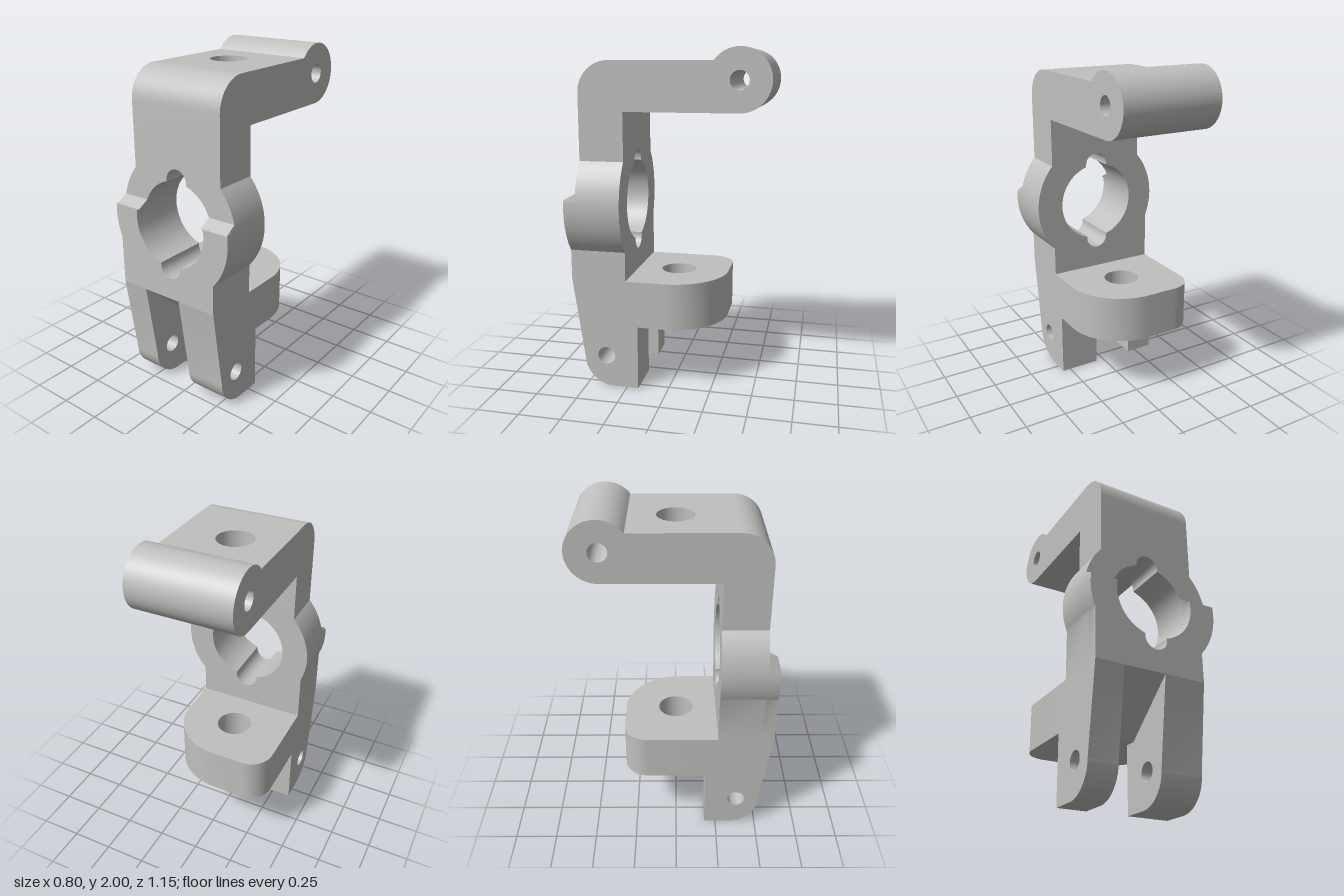
import * as THREE from 'three';
import { toCreasedNormals } from 'three/addons/utils/BufferGeometryUtils.js';

const PI = Math.PI;

// Points along an arc; works in both directions
function arc(cx, cy, r, a0, a1, n = 24) {
  return Array.from({ length: n + 1 }, (_, i) => {
    const a = a0 + ((a1 - a0) * i) / n;
    return [cx + r * Math.cos(a), cy + r * Math.sin(a)];
  });
}
const circle = (cx, cy, r) => arc(cx, cy, r, 0, 2 * PI, 40).slice(0, -1);
const vectors = (pts) => pts.map(([x, y]) => new THREE.Vector2(x, y));

function extrude(outline, holes, depth) {
  const shape = new THREE.Shape(vectors(outline));
  holes.forEach((h) => shape.holes.push(new THREE.Path(vectors(h))));
  return new THREE.ExtrudeGeometry(shape, { depth, bevelEnabled: false });
}
// Outline in (z, y), swept from x0 to x1
const alongX = (outline, holes, x0, x1) =>
  extrude(outline, holes, x1 - x0).rotateY(-PI / 2).translate(x1, 0, 0);
// Outline in (x, -z), swept from y0 to y1
const alongY = (outline, holes, y0, y1) =>
  extrude(outline, holes, y1 - y0).rotateX(-PI / 2).translate(0, y0, 0);
// Outline in (x, y), swept from z0 to z1
const alongZ = (outline, holes, z0, z1) =>
  extrude(outline, holes, z1 - z0).translate(0, 0, z0);

export function createModel() {
  const model = new THREE.Group();
  model.name = 'pivotBracket';
  const metal = new THREE.MeshStandardMaterial({ color: 0xc0c0be });
  metal.name = 'light grey metal';
  const add = (name, geometry) => {
    const mesh = new THREE.Mesh(toCreasedNormals(geometry, 0.5), metal);
    mesh.name = name;
    model.add(mesh);
  };

  // Ring plate with a notched bore
  const cy = 1.11, R = 0.4, bore = 0.24, notch = 0.07;
  const a = 2 * Math.asin(notch / 2 / bore); // bore angle taken by half a notch
  const t = a / 2;
  const side = Math.acos(0.3 / R), wide = Math.acos(0.37 / R);
  const boreOutline = [
    ...arc(0, cy, bore, a - PI / 2, PI / 2 - a),
    ...arc(0, cy + bore, notch, -t, PI + t),
    ...arc(0, cy, bore, PI / 2 + a, 1.5 * PI - a),
    ...arc(0, cy - bore, notch, PI - t, 2 * PI + t),
  ];
  add('ringPlate', alongZ([
    [-0.37, 0.67], [0.3, 0.67],
    ...arc(0, cy, R, -side, side),
    [0.3, 1.45], [-0.3, 1.45],
    ...arc(0, cy, R, PI - side, PI + wide),
  ], [boreOutline], 0.25, 0.51));

  // Raised front pad, its upper edge sloped back
  const top = 1.2 - cy;
  const outer = Math.asin(top / R), inner = Math.asin(top / bore);
  const pad = alongZ([
    [-0.37, 0.67], [0.3, 0.67],
    ...arc(0, cy, R, -side, outer),
    ...arc(0, cy, bore, inner, a - PI / 2),
    ...arc(0, cy - bore, notch, 2 * PI + t, PI - t),
    ...arc(0, cy, bore, 1.5 * PI - a, PI - inner),
    ...arc(0, cy, R, PI - outer, PI + wide),
  ], [], 0.51, 0.58);
  const p = pad.attributes.position;
  for (let i = 0; i < p.count; i++) {
    if (p.getZ(i) > 0.55) p.setY(i, Math.min(p.getY(i), 1.16));
  }
  add('frontPad', pad);

  // Upright neck with rounded shoulder
  add('shoulder', alongX([
    [0.25, 1.45], [0.51, 1.45],
    ...arc(0.33, 1.755, 0.18, 0, PI / 2),
    [0.25, 1.935],
  ], [], -0.3, 0.3));

  // Horizontal arm with a vertical hole
  const pinHole = circle(-0.035, 0, 0.105);
  add('upperArm', alongY(
    [[-0.3, -0.25], [0.3, -0.25], [0.3, 0.26], [-0.3, 0.26]], [pinHole], 1.655, 1.935));

  // Hinge knuckle at the end of the arm
  add('knuckle', alongX([
    [-0.26, 1.655], [-0.26, 1.935],
    ...arc(-0.4, 1.83, 0.175, Math.asin(0.6), 1.5 * PI, 40),
  ], [circle(-0.4, 1.83, 0.053)], -0.3, 0.3));

  // Rear lug, broadly rounded on one side
  add('rearLug', alongY([
    [-0.37, -0.25], [0.3, -0.25],
    ...arc(-0.035, -0.025, 0.335, 0, PI / 2),
    ...arc(-0.23, 0.17, 0.14, PI / 2, PI, 12),
  ], [pinHole], 0.39, 0.67));

  // Two fork legs with cross holes
  const leg = [
    [0.18, 0], [0.33, 0],
    ...arc(0.33, 0.18, 0.18, -PI / 2, 0),
    [0.58, 0.67], [0.25, 0.67], [0.25, 0.39], [0.18, 0.39],
  ];
  for (const [name, x0, x1] of [['rightLeg', -0.37, -0.2], ['leftLeg', 0.05, 0.3]]) {
    add(name, alongX(leg, [circle(0.375, 0.195, 0.053)], x0, x1));
  }

  // Sloped roof of the slot between the legs
  add('slotRoof', alongX([[0.25, 0.39], [0.58, 0.67], [0.25, 0.67]], [], -0.2, 0.05));

  return model;
}
